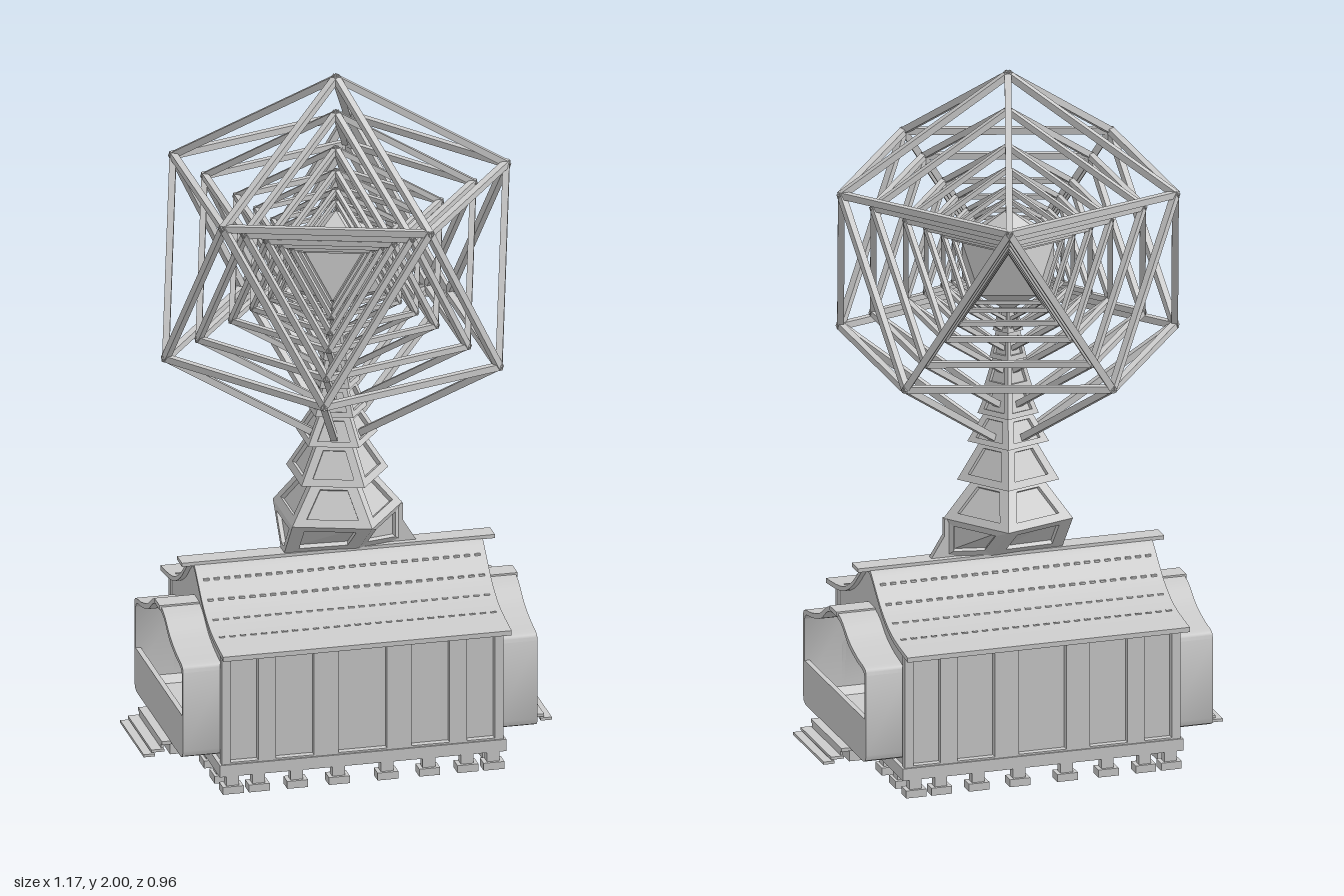
import * as THREE from 'three';
import { toCreasedNormals } from 'three/addons/utils/BufferGeometryUtils.js';
import { ConvexGeometry } from 'three/addons/geometries/ConvexGeometry.js';

const V = (x, y, z) => new THREE.Vector3(x, y, z);
const P = (x, y) => new THREE.Vector2(x, y);

export function createModel() {
  const model = new THREE.Group();
  const flat = new THREE.MeshStandardMaterial({ color: 0xcccccc, flatShading: true, side: THREE.DoubleSide });
  const smooth = new THREE.MeshStandardMaterial({ color: 0xcccccc, side: THREE.DoubleSide });

  const add = (parent, name, geo, mat = flat) => {
    const mesh = new THREE.Mesh(geo, mat);
    mesh.name = name;
    parent.add(mesh);
    return mesh;
  };
  const group = (name) => {
    const g = new THREE.Group();
    g.name = name;
    model.add(g);
    return g;
  };
  const box = (parent, name, x0, x1, y0, y1, z0, z1) =>
    add(parent, name, new THREE.BoxGeometry(x1 - x0, y1 - y0, z1 - z0)
      .translate((x0 + x1) / 2, (y0 + y1) / 2, (z0 + z1) / 2));

  // Mirror half an outline (bottom to top, z >= 0) into a closed one
  const mirrored = (half) => [...half, ...half.slice().reverse().map((p) => P(-p.x, p.y))];
  // Extrude a (z, y) outline along x
  const extrudeX = (outline, hole, x0, x1) => {
    const shape = new THREE.Shape(outline);
    if (hole) shape.holes.push(new THREE.Path(hole));
    const geo = new THREE.ExtrudeGeometry(shape, { depth: x1 - x0, bevelEnabled: false });
    geo.rotateY(Math.PI / 2).translate(x0, 0, 0);
    return toCreasedNormals(geo, 0.5);
  };
  const spline = (pts, n) => new THREE.SplineCurve(pts.map((p) => P(...p))).getPoints(n);

  // Nested icosahedral cages: two five-point rings and two poles
  const cy = 1.442;
  const ring = (r, y, turn = 0) => Array.from({ length: 5 }, (_, k) => {
    const a = ((k + turn) * Math.PI * 2) / 5;
    return V(r * Math.cos(a), y, r * Math.sin(a));
  });
  const ico = (r) => ({
    top: V(0, cy + r * 1.118, 0), bottom: V(0, cy - r * 1.118, 0),
    upper: ring(r, cy + r / 2), lower: ring(r, cy - r / 2, 0.5),
  });
  const bar = (parent, a, b, w) => {
    const mesh = add(parent, 'bar', new THREE.BoxGeometry(w, w, a.distanceTo(b) + w * 0.6));
    mesh.position.copy(a).lerp(b, 0.5);
    mesh.lookAt(b);
  };
  [0.49, 0.395, 0.3, 0.24, 0.19, 0.16].forEach((r, i) => {
    const cage = group('cage' + (i + 1));
    const c = ico(r), w = 0.019 - i * 0.0018;
    for (let k = 0; k < 5; k++) {
      const n = (k + 1) % 5, u = c.upper[k], l = c.lower[k];
      [[c.top, u], [u, c.upper[n]], [u, l], [l, c.upper[n]], [l, c.lower[n]], [l, c.bottom]]
        .forEach(([a, b]) => bar(cage, a, b, w));
    }
  });
  const core = ico(0.135);
  add(model, 'core', new ConvexGeometry([core.top, core.bottom, ...core.upper, ...core.lower]));

  // Five-sided tower tier: every side is a frame around a recessed panel
  const tier = (parent, name, low, high) => {
    const pos = [];
    const tri = (...pts) => pts.forEach((p) => pos.push(p.x, p.y, p.z));
    const quad = (a, b, c, d) => tri(a, b, c, a, c, d);
    const lowMid = V(0, low[0].y, 0), highMid = V(0, high[0].y, 0);
    for (let k = 0; k < 5; k++) {
      const n = (k + 1) % 5;
      const q = [low[n], low[k], high[k], high[n]];
      const mid = q.reduce((s, p) => s.add(p), V(0, 0, 0)).multiplyScalar(0.25);
      const normal = q[2].clone().sub(q[0]).cross(q[3].clone().sub(q[1])).normalize();
      const inner = q.map((p) => p.clone().lerp(mid, 0.35));
      const deep = inner.map((p) => p.clone().addScaledVector(normal, -0.012));
      for (let i = 0; i < 4; i++) {
        const j = (i + 1) % 4;
        quad(q[i], q[j], inner[j], inner[i]);
        quad(inner[i], inner[j], deep[j], deep[i]);
      }
      quad(...deep);
      tri(lowMid, low[k], low[n]);
      tri(highMid, high[n], high[k]);
    }
    const geo = new THREE.BufferGeometry();
    geo.setAttribute('position', new THREE.Float32BufferAttribute(pos, 3));
    geo.computeVertexNormals();
    add(parent, name, geo);
  };
  const tower = group('tower');
  const wide = ring(0.19, 0.7);
  tier(tower, 'towerFoot', wide.map((p) => V(p.x, 0.585, p.z * 0.16)), wide);
  // [bottom y, bottom radius, top y, top radius]
  [[0.7, 0.19, 0.81, 0.1], [0.81, 0.15, 0.92, 0.08], [0.92, 0.12, 1.0, 0.07],
    [1.0, 0.09, 1.08, 0.055], [1.08, 0.07, 1.16, 0.045], [1.16, 0.055, 1.24, 0.035], [1.24, 0.045, 1.31, 0.025]]
    .forEach(([y0, r0, y1, r1]) => tier(tower, 'towerTier', ring(r0, y0), ring(r1, y1)));
  add(tower, 'gusset', new THREE.ExtrudeGeometry(
    new THREE.Shape([P(0.06, 0.585), P(0.23, 0.585), P(0.19, 0.65), P(0.19, 0.7), P(0.06, 0.7)]),
    { depth: 0.02, bevelEnabled: false }).translate(0, 0, -0.01));

  // Roof: swept sheet with flared eaves and a ridge cap
  const roof = group('roof');
  const curve = spline([[0.36, 0.43], [0.27, 0.441], [0.2, 0.458], [0.13, 0.495], [0.07, 0.545], [0.03, 0.578], [0, 0.583]], 28);
  const under = curve.map((p) => P(p.x, p.y - 0.014));
  const upperLine = mirrored(curve), lowerLine = mirrored(under).reverse();
  add(roof, 'roofSheet', extrudeX([...upperLine, ...lowerLine], null, -0.415, 0.415), smooth);
  box(roof, 'ridgeCap', -0.45, 0.45, 0.577, 0.588, -0.028, 0.028);
  // Rows of small studs along both slopes
  for (const s of [-1, 1]) {
    for (const i of [6, 11, 15, 19]) {
      const p = curve[i];
      for (let x = -0.39; x < 0.391; x += 0.03) {
        box(roof, 'roofStud', x - 0.008, x + 0.008, p.y - 0.004, p.y + 0.003, s * p.x - 0.003, s * p.x + 0.003);
      }
    }
  }

  // Hollow hall, open from end to end
  const hall = group('hall');
  const arch = spline([[0.265, 0.35], [0.25, 0.367], [0.19, 0.378], [0.12, 0.4], [0.06, 0.44], [0, 0.452]], 20);
  const tunnel = mirrored([P(0.245, 0.12), P(0.265, 0.14), ...arch]);
  const wallTop = under.filter((p) => p.x < 0.28);
  add(hall, 'hallShell', extrudeX(mirrored([P(0.285, 0.05), P(0.285, 0.427), ...wallTop]), tunnel, -0.4, 0.4), smooth);
  const rect = (T, x0, x1, y0, y1) => new T([P(x0, y0), P(x1, y0), P(x1, y1), P(x0, y1)]);
  const facade = rect(THREE.Shape, -0.405, 0.405, 0.05, 0.427);
  [[-0.38, -0.3], [-0.25, -0.14], [-0.07, 0.07], [0.14, 0.25], [0.3, 0.38]]
    .forEach(([a, b]) => facade.holes.push(rect(THREE.Path, a, b, 0.09, 0.41)));
  for (const s of [-1, 1]) {
    add(hall, 'panelledWall', new THREE.ExtrudeGeometry(facade, { depth: 0.022, bevelEnabled: false })
      .translate(0, 0, s > 0 ? 0.283 : -0.305));
  }
  box(hall, 'baseSill', -0.412, 0.412, 0.05, 0.085, -0.31, 0.31);

  // Open bays at both ends with parapet, hood lip and steps
  const hood = spline([[0.278, 0.36], [0.265, 0.378], [0.2, 0.39], [0.13, 0.413], [0.07, 0.45], [0.03, 0.463], [0, 0.465]], 22);
  const bay = mirrored([P(0.255, 0.1), P(0.272, 0.108), P(0.278, 0.125), ...hood]);
  for (const s of [-1, 1]) {
    const end = group(s > 0 ? 'leftEndBay' : 'rightEndBay');
    const across = (name, a, b, y0, y1, z) =>
      box(end, name, Math.min(s * a, s * b), Math.max(s * a, s * b), y0, y1, -z, z);
    add(end, 'bayShell', extrudeX(bay, tunnel, s > 0 ? 0.39 : -0.51, s > 0 ? 0.51 : -0.39), smooth);
    across('parapet', 0.495, 0.51, 0.11, 0.228, 0.266);
    across('hoodRidge', 0.4, 0.515, 0.455, 0.468, 0.03);
    across('upperStep', 0.5, 0.535, 0.092, 0.102, 0.135);
    across('stepRiser', 0.528, 0.535, 0.072, 0.1, 0.125);
    across('middleStep', 0.528, 0.565, 0.072, 0.08, 0.135);
    across('stepRiser', 0.555, 0.562, 0.06, 0.08, 0.125);
    across('lowerStep', 0.555, 0.587, 0.06, 0.068, 0.135);
    across('stepBracket', 0.4, 0.51, 0.06, 0.09, 0.13);
  }

  // Footings around the edge
  const feet = group('feet');
  const foot = (x, z, w, d) => {
    box(feet, 'footPad', x - w, x + w, 0, 0.022, z - d, z + d);
    box(feet, 'footPost', x - w * 0.6, x + w * 0.6, 0.02, 0.055, z - d * 0.6, z + d * 0.6);
  };
  for (const s of [-1, 1]) {
    for (const x of [0.07, 0.19, 0.3, 0.375]) {
      foot(x, s * 0.295, 0.03, 0.022);
      foot(-x, s * 0.295, 0.03, 0.022);
    }
    for (const z of [-0.2, -0.08, 0.08, 0.2]) foot(s * 0.385, z, 0.022, 0.03);
  }
  return model;
}
